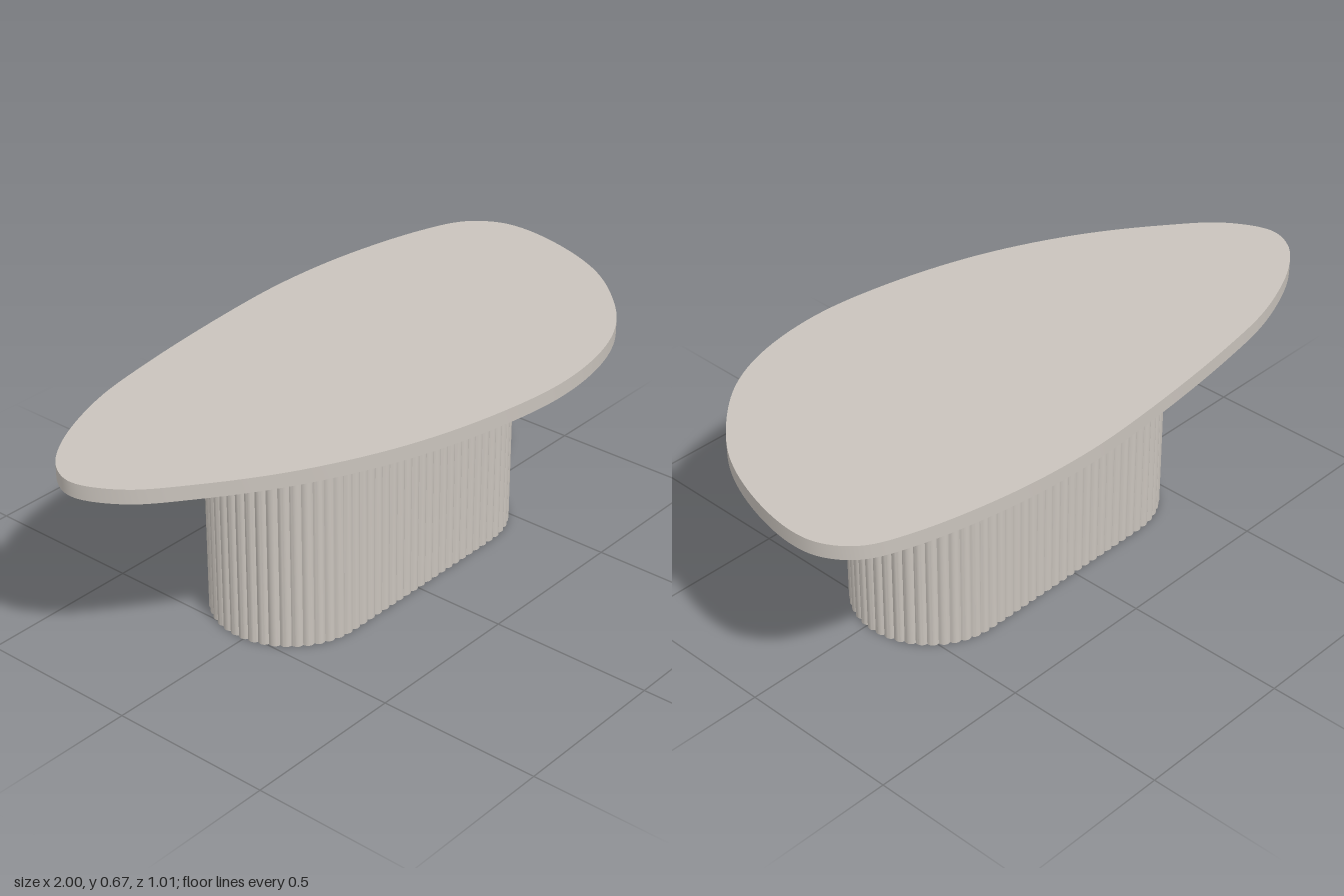
import * as THREE from 'three';
import { toCreasedNormals } from 'three/addons/utils/BufferGeometryUtils.js';

// Extrude an outline of (x, z) points upwards from y0 to y1
function slab(points, y0, y1) {
  const shape = new THREE.Shape(points.map(([x, z]) => new THREE.Vector2(x, -z)));
  const geo = new THREE.ExtrudeGeometry(shape, { depth: y1 - y0, bevelEnabled: false });
  geo.rotateX(-Math.PI / 2);
  geo.translate(0, y0, 0);
  return toCreasedNormals(geo, 0.6);
}

// Freeform pebble outline of the top
function topOutline() {
  const knots = [
    [-1, -0.14], [-0.97, -0.225], [-0.87, -0.31], [-0.65, -0.405], [-0.4, -0.455],
    [0, -0.5], [0.24, -0.51], [0.5, -0.49], [0.78, -0.43], [0.92, -0.37], [0.985, -0.285],
    [1, -0.19], [0.97, -0.02], [0.9, 0.15], [0.8, 0.28], [0.66, 0.4], [0.5, 0.47],
    [0.27, 0.503], [0, 0.475], [-0.3, 0.395], [-0.58, 0.265], [-0.8, 0.115], [-0.94, -0.01],
  ].map(([x, z]) => new THREE.Vector3(x, 0, z));
  const curve = new THREE.CatmullRomCurve3(knots, true, 'centripetal');
  return curve.getPoints(160).slice(0, -1).map((p) => [p.x, p.z]);
}

// Stadium outline whose whole perimeter is covered in convex ribs
function ribbedOutline(cx, cz, halfStraight, radius, ribs, steps) {
  const straight = 2 * halfStraight, arc = Math.PI * radius;
  const pitch = (2 * (straight + arc)) / ribs;
  const halfAngle = 0.95;
  const ribRadius = pitch / 2 / Math.sin(halfAngle);
  const points = [];
  for (let i = 0; i < ribs * steps; i++) {
    const a = ((i % steps) / steps * 2 - 1) * halfAngle;
    const bulge = ribRadius * (Math.cos(a) - Math.cos(halfAngle));
    let s = (Math.floor(i / steps) + 0.5) * pitch + ribRadius * Math.sin(a);
    // The second half is the first half turned by 180 degrees
    const side = s < straight + arc ? 1 : -1;
    if (side < 0) s -= straight + arc;
    const turn = Math.max(0, s - straight) / radius;
    const x = -halfStraight + Math.min(s, straight) + (radius + bulge) * Math.sin(turn);
    const z = (radius + bulge) * Math.cos(turn);
    points.push([cx + side * x, cz + side * z]);
  }
  return points;
}

export function createModel() {
  const stone = new THREE.MeshStandardMaterial({ color: 0xc9c3bc });
  stone.name = 'warm grey';
  const model = new THREE.Group();
  model.name = 'coffeeTable';

  const top = new THREE.Mesh(slab(topOutline(), 0.628, 0.672), stone);
  top.name = 'tableTop';
  const base = new THREE.Mesh(slab(ribbedOutline(0.03, -0.027, 0.317, 0.2295, 84, 6), 0, 0.628), stone);
  base.name = 'ribbedBase';

  model.add(top, base);
  return model;
}
